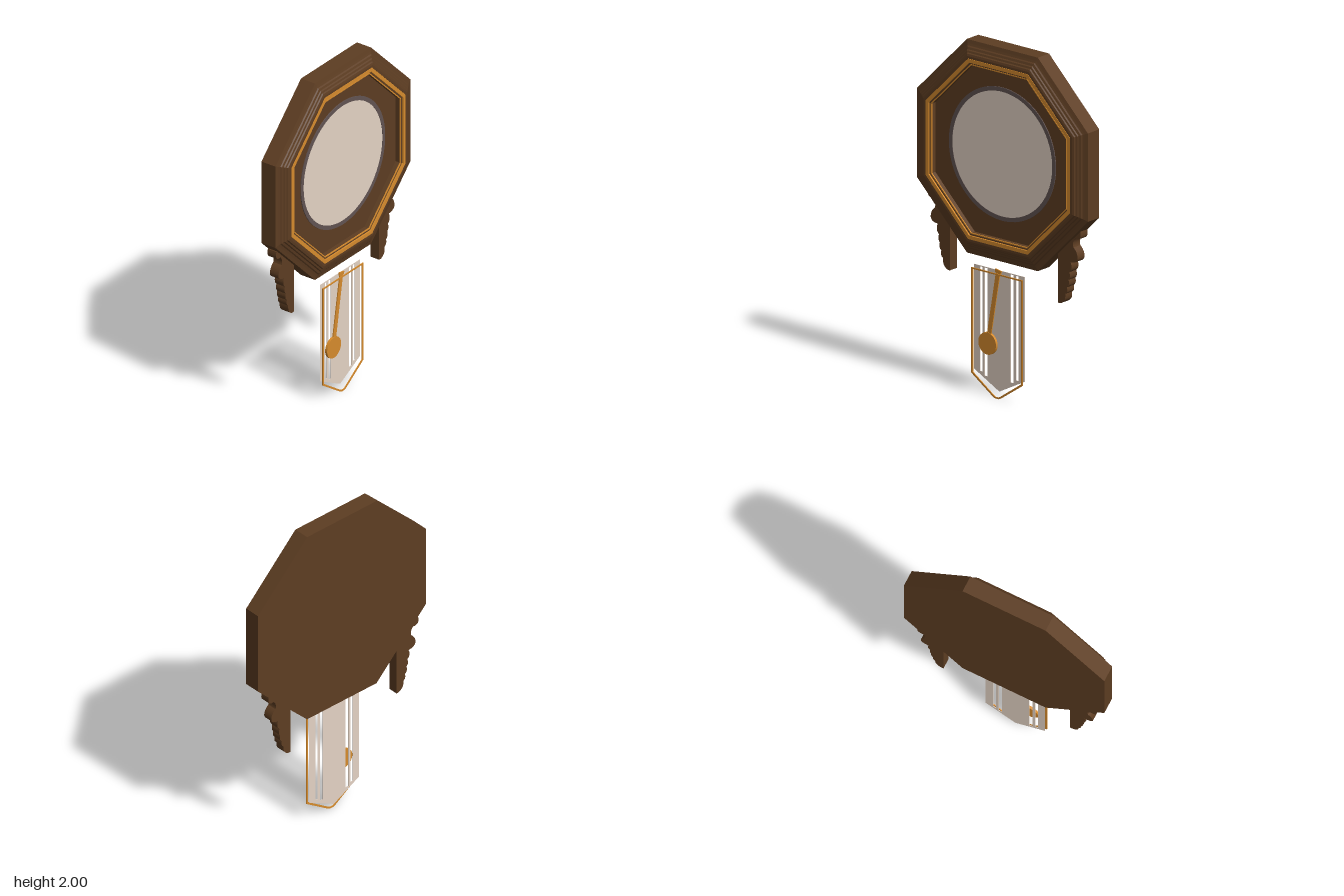
import * as THREE from 'three';

const mat = (name, color) => {
  const m = new THREE.MeshStandardMaterial({ color });
  m.name = name;
  return m;
};

export function createModel() {
  const wood = mat('dark wood', 0x5d3d22);
  const gold = mat('gold', 0xd68b2d);
  const ivory = mat('ivory', 0xe4d3c4);
  const grey = mat('warm grey', 0x615352);

  const model = new THREE.Group();
  model.name = 'wallClock';
  const CY = 1.391;

  const add = (name, geo, material, x = 0, y = 0, z = 0, parent = model) => {
    const mesh = new THREE.Mesh(geo, material);
    mesh.name = name;
    mesh.position.set(x, y, z);
    parent.add(mesh);
    return mesh;
  };

  // Lathe facing +z; each point is [apothem, z], eight sides are flat shaded
  const turned = (points, sides = 8) => {
    const k = sides === 8 ? Math.cos(Math.PI / 8) : 1;
    const pts = points.map(([r, z]) => new THREE.Vector2(r / k, z));
    const geo = new THREE.LatheGeometry(pts, sides, Math.PI / sides);
    geo.rotateX(Math.PI / 2);
    const flat = geo.toNonIndexed();
    flat.computeVertexNormals();
    return flat;
  };
  const poly = (pts) => new THREE.Shape(pts.map(([x, y]) => new THREE.Vector2(x, y)));
  const extrude = (shape, depth) =>
    new THREE.ExtrudeGeometry(shape, { depth, bevelEnabled: false, curveSegments: 8 });

  // Octagonal case: soft stepped moulding around a recessed face
  add('case', turned([
    [0, -0.073], [0.609, -0.073], [0.609, 0.022], [0.59, 0.027], [0.578, 0.031],
    [0.572, 0.037], [0.56, 0.041], [0.555, 0.047], [0.545, 0.05], [0.54, 0.056],
    [0.528, 0.059], [0.515, 0.059], [0.513, 0.052], [0.482, 0.05], [0.48, 0.018], [0, 0.018],
  ]), wood, 0, CY);

  // Gold octagonal trims
  const trim = (outer, inner, base, z) =>
    turned([[outer, base], [outer, z], [inner, z], [inner, base]]);
  add('outerTrim', trim(0.514, 0.493, 0.048, 0.06), gold, 0, CY);
  add('innerTrim', trim(0.484, 0.478, 0.046, 0.052), gold, 0, CY);

  // Dial and its ring on the recessed face
  add('dialRing', turned([[0.38, 0.016], [0.38, 0.023], [0.356, 0.023], [0.356, 0.016]], 64), grey, 0, CY + 0.005);
  add('dial', turned([[0.357, 0.016], [0.357, 0.021], [0, 0.021]], 64), ivory, 0, CY + 0.005);

  // Carved side brackets, scalloped along the outer edge
  const bracket = new THREE.Shape();
  bracket.moveTo(0.37, 0.62);
  const scallops = [
    [0.39, 0.615, 0.408, 0.635], [0.422, 0.645, 0.42, 0.68], [0.44, 0.69, 0.432, 0.72],
    [0.452, 0.735, 0.443, 0.765], [0.46, 0.78, 0.449, 0.81], [0.475, 0.83, 0.458, 0.868],
    [0.51, 0.87, 0.508, 0.905], [0.505, 0.935, 0.478, 0.957], [0.468, 0.985, 0.49, 1.01],
    [0.54, 1.0, 0.527, 1.06],
  ];
  scallops.forEach((s) => bracket.quadraticCurveTo(...s));
  bracket.lineTo(0.37, 1.06);
  const bracketGeo = extrude(bracket, 0.058);
  add('leftBracket', bracketGeo, wood, 0, 0, -0.069);
  const mirrored = bracketGeo.clone();
  mirrored.rotateY(Math.PI);
  add('rightBracket', mirrored, wood, -0.03, 0.02, -0.011);

  // Pointed lower panel with narrow slots
  const panel = poly([[-0.203, 0.13], [-0.023, 0.036], [0.157, 0.13], [0.157, 0.727], [-0.203, 0.727]]);
  [[-0.16, -0.143, 0.125], [-0.127, -0.107, 0.105], [0.058, 0.079, 0.105], [0.095, 0.112, 0.125]]
    .forEach(([a, b, y]) => panel.holes.push(poly([[a, y], [a, 0.722], [b, 0.722], [b, y]])));
  add('lowerPanel', extrude(panel, 0.003), ivory, 0, 0, 0.017);

  // Thin gold frame in front of the panel
  const frame = poly([[-0.206, 0.112], [-0.05, 0.006], [-0.035, 0], [-0.012, 0], [0.003, 0.006],
    [0.159, 0.112], [0.159, 0.713], [-0.206, 0.713]]);
  frame.holes.push(poly([[-0.195, 0.118], [-0.195, 0.705], [0.148, 0.705], [0.148, 0.118],
    [0, 0.016], [-0.014, 0.009], [-0.033, 0.009], [-0.047, 0.016]]));
  add('lowerFrame', extrude(frame, 0.005), gold, 0, 0, 0.036);

  // Swung pendulum
  const pendulum = new THREE.Group();
  pendulum.name = 'pendulum';
  pendulum.position.set(-0.023, 0.725, 0.028);
  pendulum.rotation.z = -0.172;
  model.add(pendulum);
  add('rod', new THREE.BoxGeometry(0.028, 0.4, 0.006), gold, 0, -0.195, 0, pendulum);
  add('hub', new THREE.BoxGeometry(0.042, 0.018, 0.008), gold, 0, -0.001, 0, pendulum);
  const bob = new THREE.CylinderGeometry(0.063, 0.063, 0.014, 40);
  bob.rotateX(Math.PI / 2);
  add('bob', bob, gold, 0, -0.433, 0, pendulum);

  return model;
}
